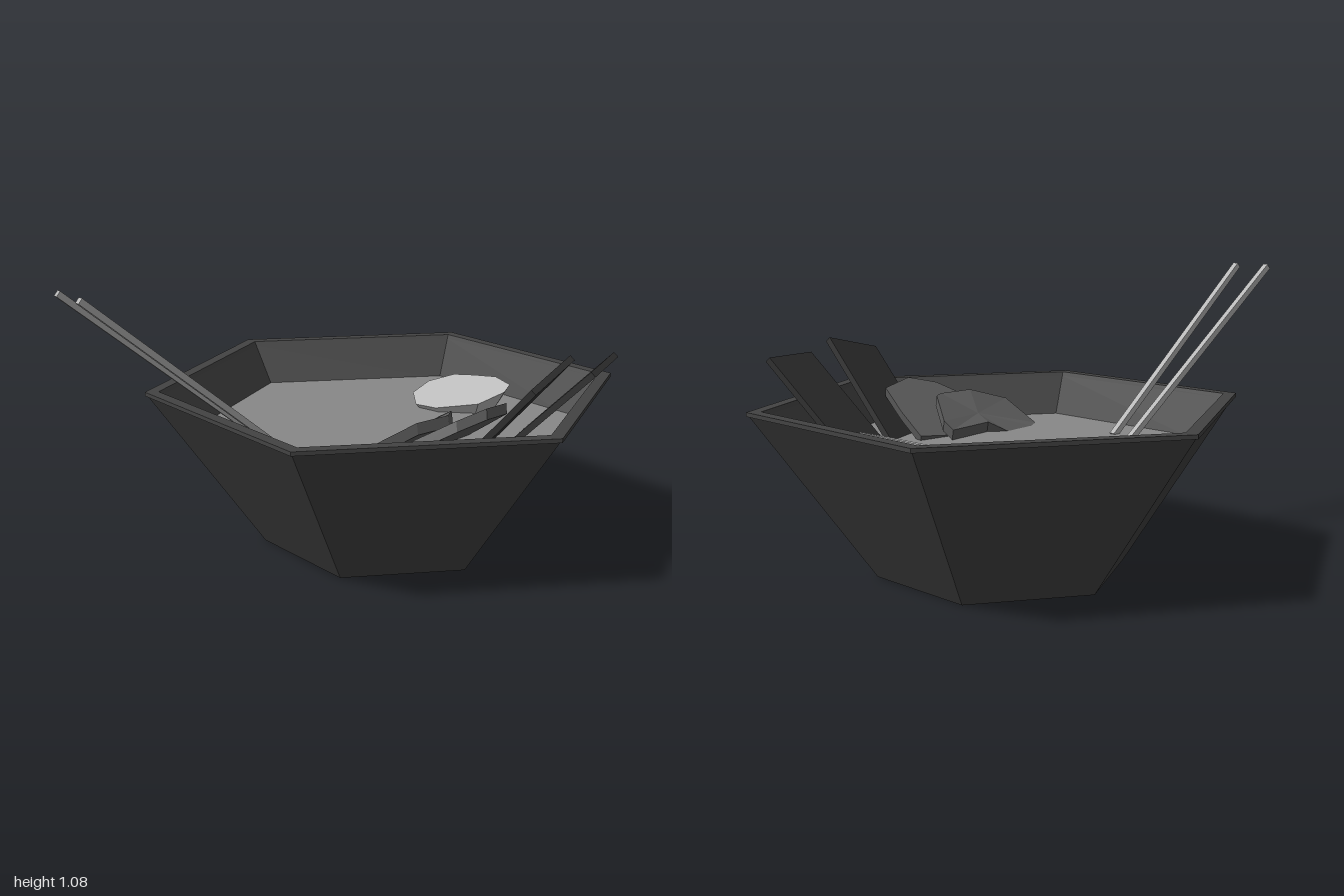
import * as THREE from 'three';

const mat = (name, color) => {
  const m = new THREE.MeshStandardMaterial({ color });
  m.name = name;
  return m;
};

// Give every face its own flat normal
function faceted(geo) {
  const g = geo.index ? geo.toNonIndexed() : geo;
  g.computeVertexNormals();
  return g;
}

// Solid slab: upper outline (clockwise seen from above), a hub for the top fan,
// and an offset and scale that give the underside
function slab(points, offset, underScale = 1, hub = null) {
  const top = points.map(p => new THREE.Vector3(...p));
  const mid = hub ? new THREE.Vector3(...hub)
    : top.reduce((s, p) => s.add(p), new THREE.Vector3()).divideScalar(top.length);
  const off = new THREE.Vector3(...offset);
  const lower = p => p.clone().sub(mid).multiplyScalar(underScale).add(mid).add(off);
  const verts = [];
  const tri = (...v) => v.forEach(p => verts.push(p.x, p.y, p.z));
  top.forEach((a, i) => {
    const b = top[(i + 1) % top.length];
    const c = lower(a), d = lower(b);
    tri(mid, b, a);
    tri(lower(mid), c, d);
    tri(a, b, d);
    tri(a, d, c);
  });
  const g = new THREE.BufferGeometry();
  g.setAttribute('position', new THREE.Float32BufferAttribute(verts, 3));
  return faceted(g);
}

export function createModel() {
  const group = new THREE.Group();
  const bowlMat = mat('darkBowl', 0x434343);
  const soupMat = mat('broth', 0x888888);
  const seaweedMat = mat('seaweed', 0x323232);
  const meatMat = mat('meat', 0x5e5e5e);
  const eggMat = mat('egg', 0xbebebe);
  const stickMat = mat('chopstick', 0xb8b8b8);
  const add = (name, geo, material) => {
    const m = new THREE.Mesh(geo, material);
    m.name = name;
    group.add(m);
    return m;
  };
  const bowlZ = -0.215, soupY = 0.46;

  // Six-sided bowl with a small lip
  const profile = [[0, 0], [0.465, 0], [0.897, 0.605], [0.906, 0.605], [0.906, 0.62],
    [0.855, 0.62], [0.845, 0.605], [0.735, 0.45], [0.44, 0.04], [0, 0.04]]
    .map(p => new THREE.Vector2(...p));
  const bowl = new THREE.LatheGeometry(profile, 6);
  bowl.rotateY(Math.PI / 6);
  bowl.translate(0, 0, bowlZ);
  add('bowl', faceted(bowl), bowlMat);

  // Broth surface
  const soup = new THREE.CircleGeometry(0.742, 6);
  soup.rotateX(-Math.PI / 2);
  soup.translate(0, soupY, bowlZ);
  add('broth', soup, soupMat);

  // Seaweed sheets: two upper corners and the direction down into the bowl
  [
    [[0.64, 0.775, -0.78], [0.755, 0.765, -0.52], [-0.345, -0.38, 0.14]],
    [[0.695, 0.822, -0.475], [0.77, 0.76, -0.2], [-0.355, -0.38, 0.03]],
  ].forEach(([a, b, down], i) => {
    const c = b.map((v, k) => v + down[k]);
    const d = a.map((v, k) => v + down[k]);
    add('seaweedSheet' + (i + 1), slab([d, a, b, c], [0.016, -0.016, -0.006]), seaweedMat);
  });

  // Rear meat slice, a leaning flat disc
  const rear = [[0.28, -0.37], [0.4, -0.365], [0.52, -0.345], [0.575, -0.19],
    [0.55, -0.07], [0.46, 0.05], [0.36, 0.02], [0.28, -0.15]]
    .map(([x, z]) => [x, 0.46 + 0.65 * (x - 0.28) - 0.1 * (z + 0.19), z]);
  add('rearMeatSlice', slab(rear, [0.015, -0.035, 0.01]), meatMat);

  // Front meat slice, folded at a notch in its inner edge
  const front = [[0.2, 0.5, -0.28], [0.24, 0.53, -0.29], [0.39, 0.6, -0.2],
    [0.425, 0.6, -0.15], [0.425, 0.6, 0], [0.4, 0.55, 0.17], [0.27, 0.46, 0.21],
    [0.215, 0.45, 0.18], [0.2, 0.45, 0.08], [0.205, 0.46, 0], [0.24, 0.5, -0.07]];
  add('frontMeatSlice', slab(front, [0.012, -0.04, 0.004], 1, [0.31, 0.525, -0.06]), meatMat);

  // Half egg, cut face tilted to the front and body tapering below
  const egg = [[-0.175, -0.61], [-0.12, -0.7], [-0.04, -0.73], [0.06, -0.76], [0.165, -0.735],
    [0.19, -0.68], [0.165, -0.56], [0.03, -0.46], [-0.07, -0.445], [-0.16, -0.51]]
    .map(([x, z]) => [x, 0.475 - 0.28 * (z + 0.445), z]);
  add('eggHalf', slab(egg, [0, -0.1, -0.01], 0.65), eggMat);

  // Chopsticks resting on the front rim
  [[-0.21, -0.273], [-0.122, -0.122]].forEach(([x0, x1], i) => {
    const from = new THREE.Vector3(x0, 0.455, 0.245);
    const to = new THREE.Vector3(x1, 1.075, 0.99);
    const stick = add('chopstick' + (i + 1),
      new THREE.BoxGeometry(0.023, 0.023, from.distanceTo(to)), stickMat);
    stick.position.copy(from).add(to).multiplyScalar(0.5);
    stick.lookAt(to);
  });
  return group;
}
